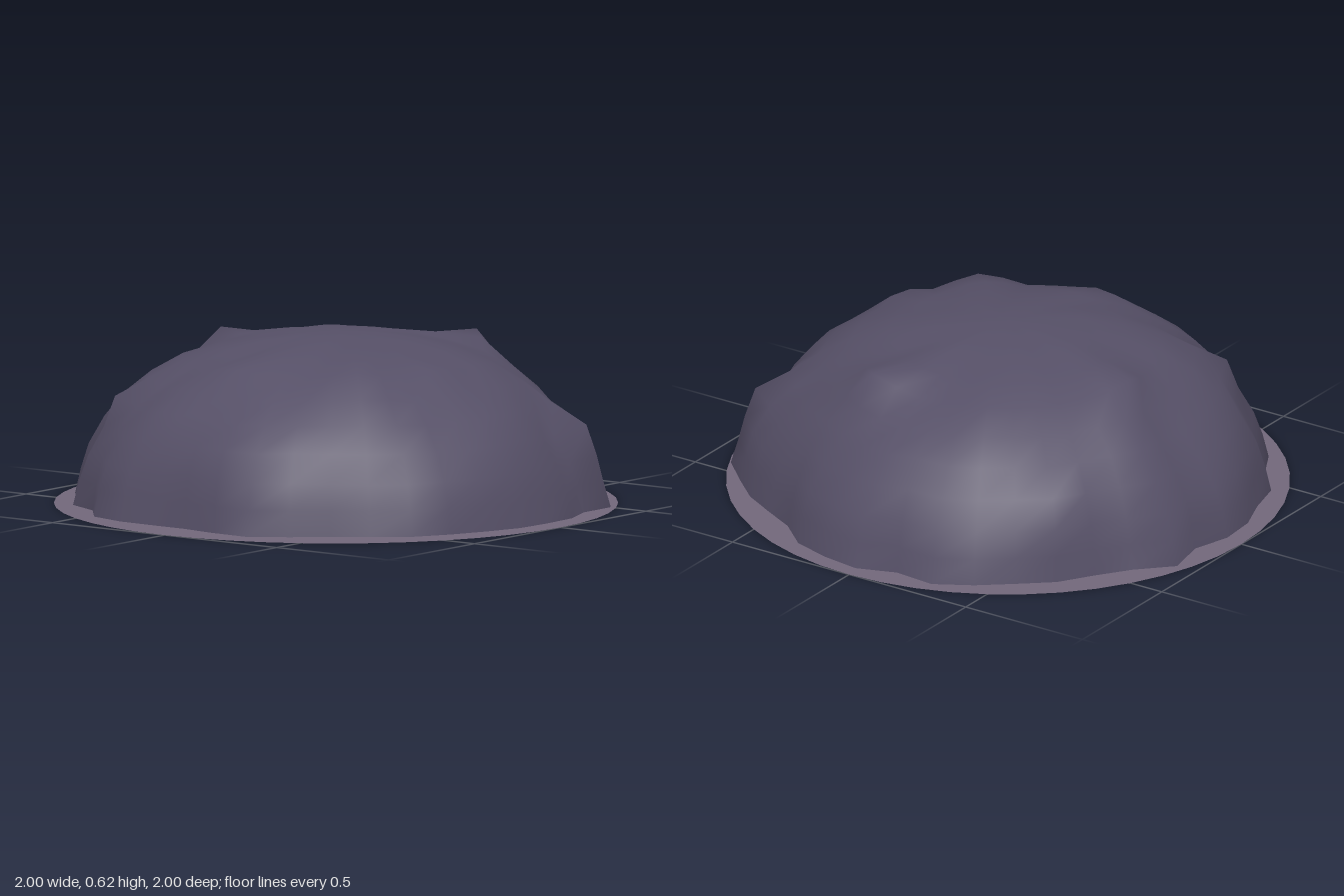
import * as THREE from 'three';

const SEGS = 40;
const MEAN_RADIUS = 0.925;

// Outline radius every 9 degrees, from the back (-z) round through +x
const OUTLINE = [
  0.96, 0.95, 0.94, 0.89, 0.90, 0.93, 0.95, 0.99, 0.93, 0.95,
  0.945, 0.95, 0.94, 0.94, 0.945, 0.91, 0.91, 0.93, 0.96, 0.92,
  0.89, 0.90, 0.93, 0.95, 0.90, 0.94, 0.91, 0.94, 0.92, 0.94,
  0.94, 0.91, 0.98, 0.92, 0.91, 0.93, 0.93, 0.95, 0.97, 0.92,
];

// Average mound profile: [radius factor, height]
const PROFILE = [
  [1, 0.01], [0.98, 0.1], [0.95, 0.19], [0.89, 0.29], [0.81, 0.38],
  [0.71, 0.455], [0.59, 0.52], [0.45, 0.565], [0.3, 0.595], [0.15, 0.612],
];

// Pointed lumps: position, reach and strength
const LUMPS = [
  [0.19, 0.53, -0.52, 0.16, 0.085], [-0.54, 0.52, -0.1, 0.15, 0.07],
  [0.54, 0.52, 0.12, 0.15, 0.04], [0.79, 0.29, -0.42, 0.14, 0.06],
  [-0.54, 0.41, 0.54, 0.14, 0.05], [0.35, 0.53, 0.35, 0.15, 0.05],
  [0.08, 0.28, 0.82, 0.18, 0.04], [-0.05, 0.53, 0.52, 0.14, 0.03],
  [-0.59, 0.26, -0.59, 0.16, 0.04], [0.59, 0.36, -0.54, 0.15, -0.02],
];

function moundPoint(ring, seg) {
  const [f, h] = PROFILE[ring];
  const a = (seg / SEGS) * Math.PI * 2;
  // The jagged rim softens with height, while shallow gullies wander sideways
  const climb = ring / (PROFILE.length - 1);
  const gully = Math.sin(a * 7 + ring * 0.8) * 0.6 + Math.sin(a * 11 - ring * 1.1) * 0.4;
  const fade = Math.sin(Math.PI * climb);
  const rim = THREE.MathUtils.lerp(OUTLINE[seg], MEAN_RADIUS, climb);
  const r = f * (rim + gully * 0.012 * fade);
  const p = new THREE.Vector3(Math.sin(a) * r, h + gully * 0.008 * fade, -Math.cos(a) * r);
  if (ring > 0) {
    for (const [x, y, z, reach, push] of LUMPS) {
      const centre = new THREE.Vector3(x, y, z);
      const w = Math.max(0, 1 - p.distanceTo(centre) / reach);
      p.addScaledVector(centre.normalize(), w * push);
    }
  }
  return p;
}

function moundGeometry() {
  const pos = [], index = [];
  const rings = PROFILE.length;
  for (let r = 0; r < rings; r++)
    for (let s = 0; s < SEGS; s++) pos.push(...moundPoint(r, s).toArray());
  pos.push(0, 0.617, 0);
  const peak = rings * SEGS;
  for (let s = 0; s < SEGS; s++) {
    const t = (s + 1) % SEGS;
    for (let r = 0; r < rings - 1; r++) {
      const a = r * SEGS + s, b = r * SEGS + t;
      index.push(a, a + SEGS, b, b, a + SEGS, b + SEGS);
    }
    index.push(peak - SEGS + s, peak, peak - SEGS + t);
  }
  const geo = new THREE.BufferGeometry();
  geo.setAttribute('position', new THREE.Float32BufferAttribute(pos, 3));
  geo.setIndex(index);
  geo.computeVertexNormals();
  return geo;
}

export function createModel() {
  const group = new THREE.Group();
  group.name = 'rockMound';

  const rock = new THREE.MeshStandardMaterial({ color: 0x554f66, side: THREE.DoubleSide });
  rock.name = 'slate purple rock';
  const ground = new THREE.MeshStandardMaterial({ color: 0x71677a, side: THREE.DoubleSide });
  ground.name = 'dusty mauve base';

  // Lumpy dome
  const mound = new THREE.Mesh(moundGeometry(), rock);
  mound.name = 'mound';

  // Flat round base
  const base = new THREE.Mesh(new THREE.CircleGeometry(1, 48).rotateX(-Math.PI / 2), ground);
  base.name = 'baseDisc';

  group.add(base, mound);
  return group;
}
